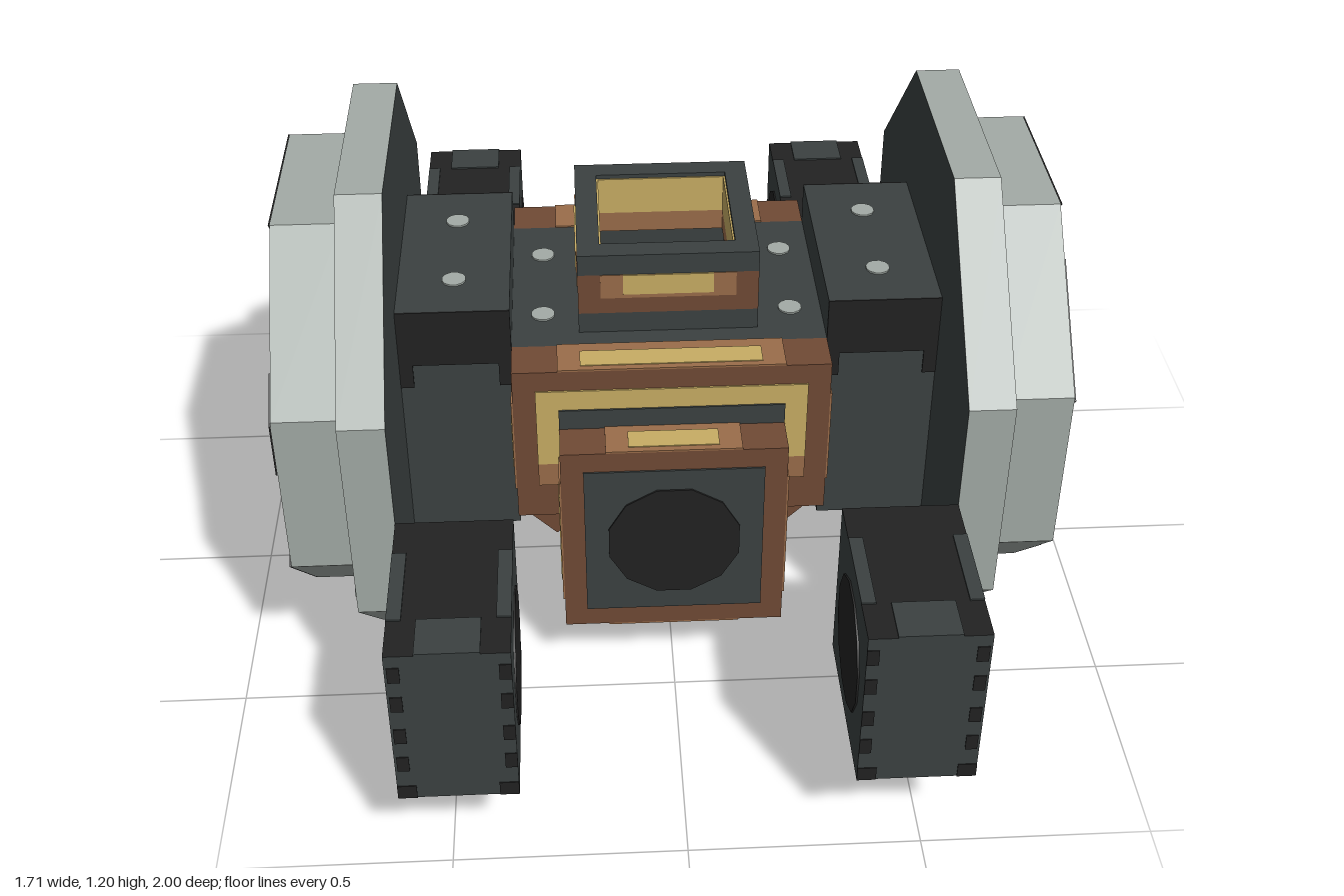
import * as THREE from 'three';

const mat = (name, color) => Object.assign(new THREE.MeshStandardMaterial({ color }), { name });

export function createModel() {
  const slate = mat('slate', 0x3b4141), black = mat('black', 0x222222), silver = mat('silver', 0xa3aba6);
  const brown = mat('brown', 0x704a35), tan = mat('tan', 0x9a6d4a), gold = mat('gold', 0xc8ad64);
  const T = 0.004; // thickness of painted plates

  const add = (parent, name, geo, material) => {
    const m = new THREE.Mesh(geo, material);
    m.name = name;
    parent.add(m);
    return m;
  };
  // box from its limits along each axis
  const box = (p, name, m, x0, x1, y0, y1, z0, z1) => {
    const b = add(p, name, new THREE.BoxGeometry(x1 - x0, y1 - y0, z1 - z0), m);
    b.position.set((x0 + x1) / 2, (y0 + y1) / 2, (z0 + z1) / 2);
    return b;
  };
  // thin round plate facing along an axis
  const disc = (p, name, m, axis, r, x, y, z, sides = 12) => {
    const g = new THREE.CylinderGeometry(r, r, T * 2, sides);
    g.rotateY(Math.PI / sides);
    if (axis === 'x') g.rotateZ(Math.PI / 2);
    if (axis === 'z') g.rotateX(Math.PI / 2);
    const d = add(p, name, g, m);
    d.position.set(x, y, z);
    return d;
  };
  // outline drawn in the side plane, extruded towards +x
  const slab = (p, name, m, pts, x, depth) => {
    const g = new THREE.ExtrudeGeometry(new THREE.Shape(pts.map(a => new THREE.Vector2(...a))), { depth, bevelEnabled: false });
    g.rotateY(Math.PI / 2);
    const s = add(p, name, g, m);
    s.position.set(x, 0.6, 0);
    return s;
  };
  const octagon = (a, b) => [[b, a], [a, b], [a, -b], [b, -a], [-b, -a], [-a, -b], [-a, b], [-b, a]];

  // octagonal wheel with painted patches and rivets
  const wheel = () => {
    const g = new THREE.Group();
    g.name = 'wheel';
    slab(g, 'wheelRim', [slate, silver], octagon(0.6, 0.25), 0.6, 0.1);
    slab(g, 'wheelHub', [slate, silver], octagon(0.5, 0.2), 0.7, 0.15);
    const patches = [
      [[-0.5, 0.19], [-0.28, 0.41], [-0.2, 0.32], [-0.11, 0.41], [-0.2, 0.5], [0.2, 0.5], [0.11, 0.39], [0.25, 0.25],
        [0.31, 0.19], [0.28, 0.18], [0.37, 0.09], [0.29, 0], [0.03, 0.25], [-0.27, -0.04]],
      [[-0.2, -0.1], [-0.42, -0.28], [-0.2, -0.5], [-0.18, -0.49], [-0.09, -0.39], [-0.08, -0.5], [0.2, -0.5], [0.3, -0.4], [0.13, -0.2], [0.01, -0.32]],
      [[0.29, 0], [0.5, -0.2], [0.3, -0.4], [0.1, -0.21]],
      [[0.5, 0.19], [0.42, 0.27], [0.5, 0.06]],
    ];
    patches[1][1] = [-0.41, -0.29];
    patches.forEach(p => slab(g, 'darkPatch', black, p, 0.85, T));
    [[0.25, 0.52], [-0.52, 0.17], [-0.55, -0.21], [0.57, -0.21], [-0.22, -0.565], [0.24, -0.565]]
      .forEach(([u, v]) => disc(g, 'rimRivet', silver, 'x', 0.017, 0.7, 0.6 + v, -u, 8));
    return g;
  };

  // separate block beside the wheel; s chooses front or back
  const block = s => {
    const g = new THREE.Group();
    g.name = s > 0 ? 'frontBlock' : 'backBlock';
    const zs = (a, b) => (s > 0 ? [a, b] : [-b, -a]);
    box(g, 'blockBody', [black, slate, black, black, slate, slate], 0.35, 0.6, 0.2, 0.6, ...zs(0.6, 1));
    box(g, 'outerPanel', slate, 0.6, 0.6 + T, 0.245, 0.56, ...zs(0.64, 0.96));
    disc(g, 'innerSpot', black, 'x', 0.145, 0.35, 0.4, s * 0.8);
    box(g, 'topPanel', slate, 0.41, 0.54, 0.6, 0.6 + T, ...zs(0.9, 1));
    for (const [a, b] of [[0.35, 0.38], [0.57, 0.6]]) {
      box(g, 'topNotch', slate, a, b, 0.6, 0.6 + T, ...zs(0.7, 0.9));
      for (const y of [0.3, 0.38, 0.47, 0.55]) box(g, 'edgeNotch', black, a, b - 0.005, y - 0.02, y + 0.02, ...zs(1 - T, 1 + T / 2));
      box(g, 'cornerNotch', black, a - (a > 0.5 ? 0.01 : 0), b + (a < 0.5 ? 0.01 : 0), 0.2, 0.235, ...zs(1 - T, 1 + T / 2));
    }
    return g;
  };

  // framed panel stepping out from the body
  const panel = () => {
    const g = new THREE.Group();
    g.name = 'framedPanel';
    box(g, 'outerFrame', brown, -0.35, 0.35, 0.4, 0.8, 0.25, 0.35);
    box(g, 'outerFrameGold', gold, -0.3, 0.3, 0.55, 0.75, 0.35, 0.35 + T);
    box(g, 'outerFrameTan', tan, -0.3, 0.3, 0.49, 0.55, 0.35, 0.35 + T);
    box(g, 'outerFrameCentre', slate, -0.25, 0.25, 0.42, 0.7, 0.35, 0.35 + T * 2);
    box(g, 'innerFrame', brown, -0.25, 0.25, 0.15, 0.65, 0.35, 0.45);
    box(g, 'innerPlate', slate, -0.2, 0.2, 0.2, 0.6, 0.45, 0.45 + T);
    disc(g, 'plateSpot', black, 'z', 0.152, 0, 0.4, 0.45 + T);
    // shaded trim on the rims of both frames
    for (const [w, y0, y1, z] of [[0.35, 0.4, 0.8, 0.25], [0.25, 0.15, 0.65, 0.35]]) {
      const a = w - 0.1, b = w - 0.2 + 0.05;
      for (const y of [y0 - T, y1]) {
        box(g, 'rimTan', tan, -a, a, y, y + T, z, z + 0.1);
        box(g, 'rimGold', gold, -b, b, y - T / 2, y + T * 1.5, z + 0.03, z + 0.085);
      }
      for (const x of [-w - T, w]) {
        box(g, 'rimTan', tan, x, x + T, y0 + 0.08, y1 - 0.08, z, z + 0.1);
        box(g, 'rimGold', gold, x - T / 2, x + T * 1.5, y0 + 0.13, y1 - 0.13, z + 0.03, z + 0.085);
      }
    }
    return g;
  };

  // one half of the model, turned about y for the other
  const half = name => {
    const g = new THREE.Group();
    g.name = name;
    g.add(wheel(), block(1), block(-1), panel());
    box(g, 'axleBox', slate, 0.35, 0.6, 0.3, 0.9, -0.25, 0.25);
    for (const s of [-1, 1]) {
      const z = s * 0.25;
      box(g, 'axleBand', black, 0.35, 0.6, 0.76, 0.9, z - T, z + T);
      for (const x of [0.35, 0.57]) box(g, 'axleBandEnd', black, x, x + 0.03, 0.7, 0.76, z - T, z + T);
      disc(g, 'axleRivet', silver, 'y', 0.027, 0.475, 0.9, s * 0.125);
      disc(g, 'axleRivetBelow', silver, 'y', 0.027, 0.475, 0.3, s * 0.125);
      disc(g, 'bodyRivet', silver, 'y', 0.027, 0.28, 0.8, s * 0.125);
    }
    // slanted striped brace between axle box and underside
    const brace = new THREE.Group();
    brace.name = 'brace';
    brace.position.set(0.3, 0.325, 0);
    brace.rotation.z = Math.PI / 4;
    box(brace, 'braceBar', brown, -0.1, 0.1, -0.053, 0.053, -0.2, 0.2);
    for (const z of [-0.13, 0, 0.13]) box(brace, 'braceStripe', gold, -0.085, 0.085, -0.053 - T, -0.05, z - 0.032, z + 0.032);
    g.add(brace);
    return g;
  };

  const model = new THREE.Group();
  model.name = 'model';
  const left = half('leftHalf'), right = half('rightHalf');
  right.rotation.y = Math.PI;
  model.add(left, right);

  // central body and underside
  box(model, 'body', slate, -0.35, 0.35, 0.4, 0.8, -0.25, 0.25);
  box(model, 'underside', slate, -0.25, 0.25, 0.2, 0.4, -0.35, 0.35);

  // hollow square collar on top, one wall per side
  for (let i = 0; i < 4; i++) {
    const w = new THREE.Group();
    w.name = 'collarWall';
    w.rotation.y = i * Math.PI / 2;
    box(w, 'collarBase', slate, -0.2, 0.2, 0.8, 0.85, 0.15, 0.2);
    box(w, 'collarBand', brown, -0.2, 0.2, 0.85, 0.95, 0.15, 0.2);
    box(w, 'collarTop', slate, -0.2, 0.2, 0.95, 1, 0.15, 0.2);
    box(w, 'collarTan', tan, -0.15, 0.15, 0.89, 0.95, 0.2, 0.2 + T / 2);
    box(w, 'collarGold', gold, -0.1, 0.1, 0.9, 0.95, 0.2, 0.2 + T);
    box(w, 'collarInnerGold', gold, -0.15, 0.15, 0.9, 0.99, 0.15 - T, 0.15);
    box(w, 'collarInnerTan', tan, -0.15, 0.15, 0.85, 0.9, 0.15 - T, 0.15);
    model.add(w);
  }
  return model;
}
